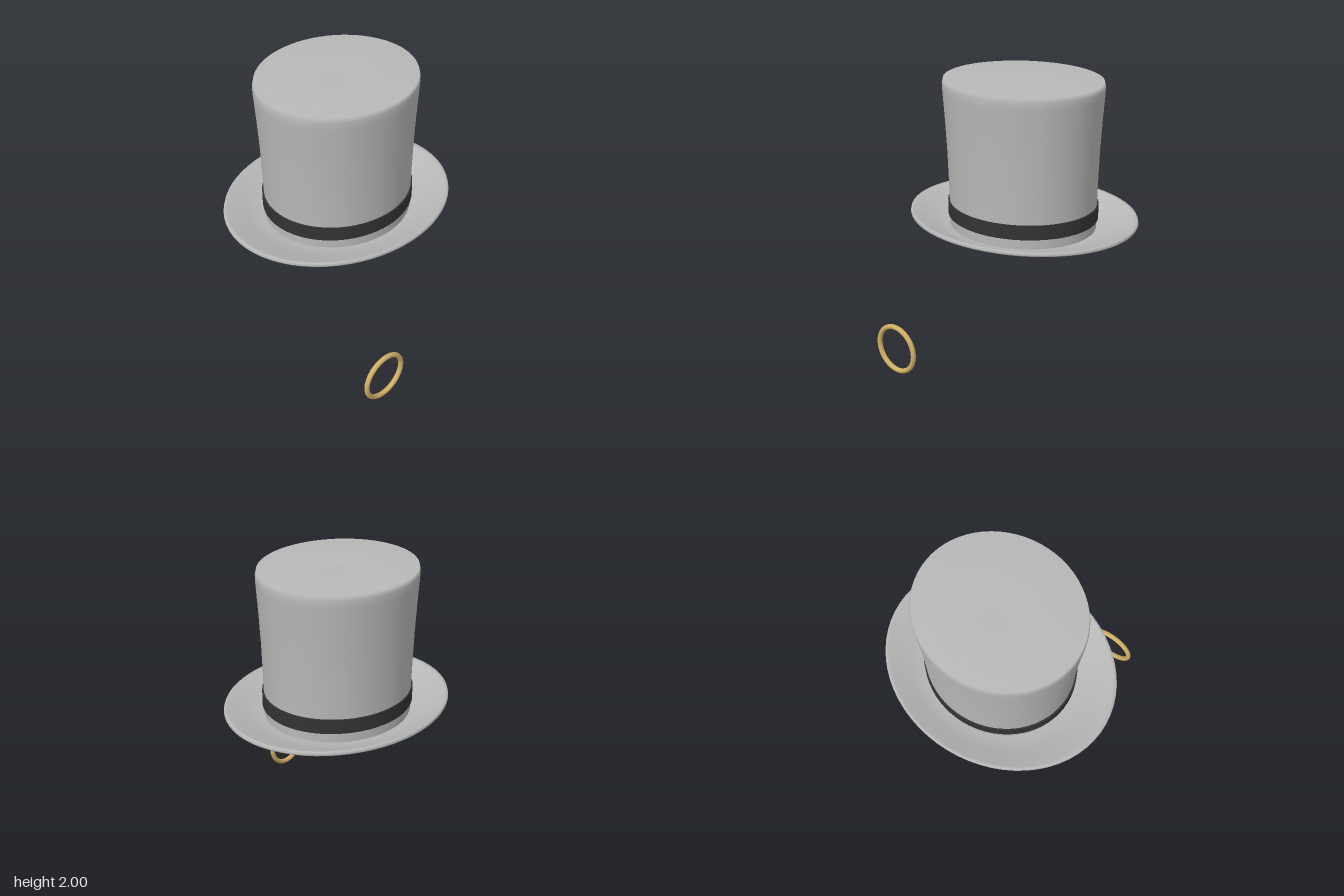
import * as THREE from 'three';

const felt = new THREE.MeshStandardMaterial({ color: 0xb8b8b8 });
felt.name = 'grey felt';
const ribbon = new THREE.MeshStandardMaterial({ color: 0x333333 });
ribbon.name = 'dark ribbon';
const gold = new THREE.MeshStandardMaterial({ color: 0xd0ae66 });
gold.name = 'gold';

// Turned profile squashed to an oval; the depth ratio changes linearly with radius
function ovalLathe(name, profile, material, ratioAt) {
  const geo = new THREE.LatheGeometry(profile.map(([r, y]) => new THREE.Vector2(r, y)), 64);
  const pos = geo.attributes.position, nor = geo.attributes.normal;
  const n = new THREE.Vector3();
  for (let i = 0; i < pos.count; i++) {
    const k = ratioAt(Math.hypot(pos.getX(i), pos.getZ(i)));
    pos.setZ(i, pos.getZ(i) * k);
    n.fromBufferAttribute(nor, i);
    n.z /= k;
    n.normalize();
    nor.setXYZ(i, n.x, n.y, n.z);
  }
  const mesh = new THREE.Mesh(geo, material);
  mesh.name = name;
  return mesh;
}

export function createModel() {
  const model = new THREE.Group();
  model.name = 'topHatAndRing';

  const hat = new THREE.Group();
  hat.name = 'hat';
  hat.position.z = -0.09;
  model.add(hat);

  const crownRatio = (r) => (r < 0.53 ? 0.918 : 0.918 - (r - 0.53) * 0.45);
  const brimRatio = (r) => 0.915 - (r - 0.54) * 0.22;

  // Hollow crown: outer wall, flat top, then the inner shell back down
  hat.add(ovalLathe('crown', [
    [0.527, 0.94], [0.527, 1.08], [0.53, 1.24], [0.539, 1.5], [0.553, 1.73],
    [0.567, 1.91], [0.569, 1.96], [0.56, 1.994], [0, 2.0],
    [0, 1.97], [0.54, 1.965], [0.545, 1.9], [0.52, 1.5], [0.508, 1.2], [0.505, 0.94],
  ], felt, crownRatio));

  // Dished brim with a thin upturned edge
  hat.add(ovalLathe('brim', [
    [0.52, 0.953], [0.58, 0.958], [0.65, 0.972], [0.74, 0.997], [0.835, 1.027],
    [0.84, 1.036], [0.834, 1.055], [0.81, 1.051], [0.74, 1.026], [0.65, 0.994],
    [0.58, 0.974], [0.52, 0.967],
  ], felt, brimRatio));

  // Rim around the head opening
  hat.add(ovalLathe('openingRim', [
    [0.505, 0.955], [0.507, 0.925], [0.512, 0.922], [0.535, 0.922], [0.54, 0.926],
    [0.54, 0.951], [0.535, 0.956],
  ], felt, () => 0.914));

  // Ribbon around the foot of the crown
  hat.add(ovalLathe('hatBand', [
    [0.525, 1.037], [0.54, 1.037], [0.54, 1.038], [0.54, 1.136], [0.54, 1.137], [0.525, 1.137],
  ], ribbon, () => 0.914));

  // Separate ring in front of the hat
  const ring = new THREE.Mesh(new THREE.TorusGeometry(0.164, 0.018, 16, 64), gold);
  ring.name = 'ring';
  ring.position.set(-0.412, 0.182, 0.784);
  model.add(ring);

  return model;
}
